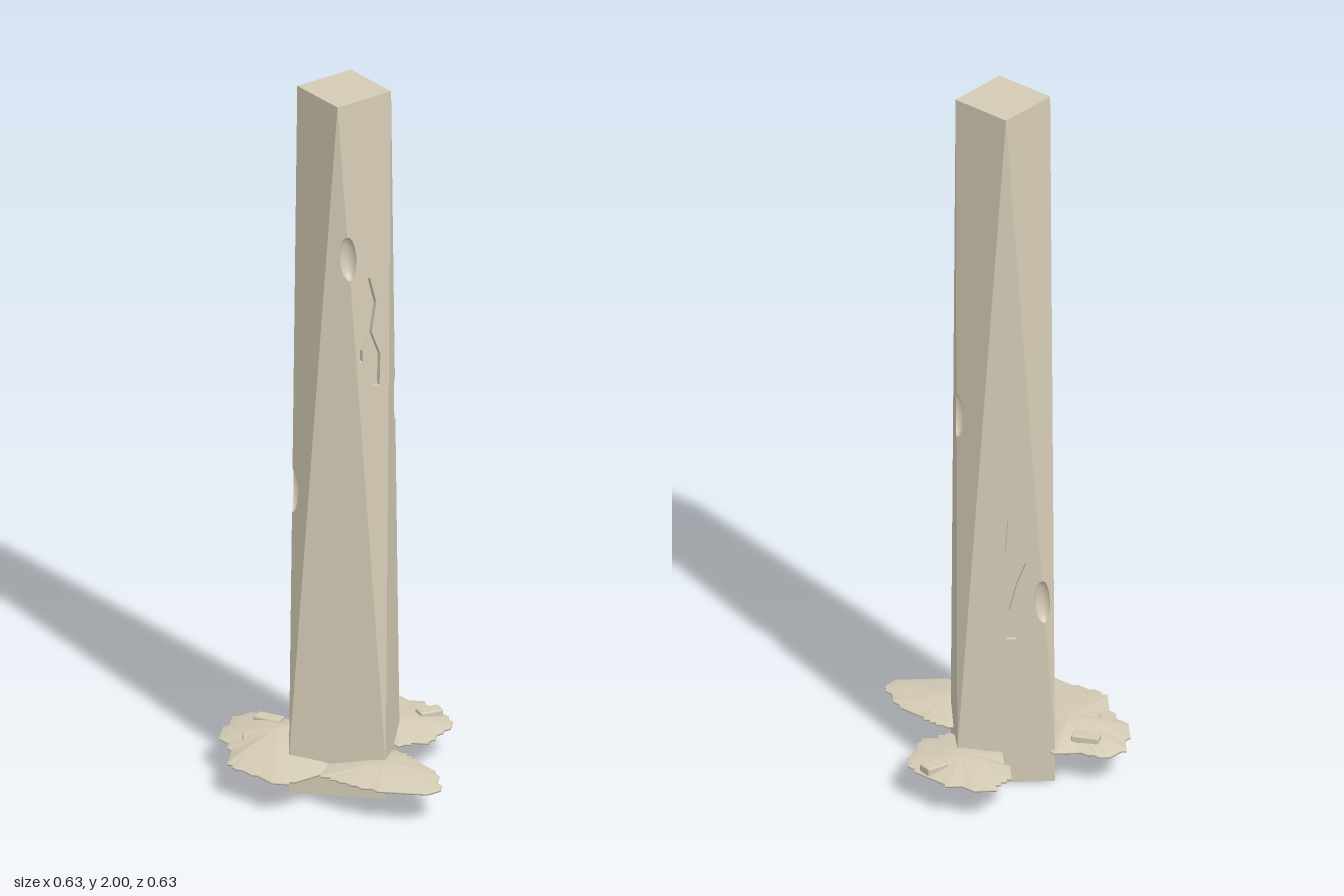
import * as THREE from 'three';
import { RoundedBoxGeometry } from 'three/addons/geometries/RoundedBoxGeometry.js';

const V = (x, y, z) => new THREE.Vector3(x, y, z);
const CX = 0.02, CZ = 0.025;          // pillar axis
const Y0 = 0.1, Y1 = 2;               // tapered part
const HALF = 0.13, TOP = 0.126;
const DENT_R = 0.025, DENT_A = 0.063, STEPS = 14;
const DENT_Y = [1.56, 1.08, 0.54, 0.86];

// Branching crack outline, counter-clockwise (across, up)
const CRACK = [[-.004, -.155], [.02, -.155], [.026, -.07], [0, 0], [.018, .08], [0, .155], [-.024, .155],
  [-.007, .08], [-.025, .01], [-.045, -.04], [-.045, -.08], [-.033, -.075], [-.032, -.045], [-.012, -.02], [.002, -.07]];

// Outlines of the dirt patches on the ground (x, z) and their heights
const PATCHES = [
  { rise: 0.034, peak: [-0.16, 0.02], line: [[-.31, .03], [-.315, -.04], [-.3, -.08], [-.295, -.12], [-.26, -.15], [-.22, -.145],
    [-.17, -.12], [-.105, -.115], [-.06, 0], [0, .1], [-.01, .22], [-.07, .28], [-.1, .3], [-.13, .295], [-.2, .25], [-.26, .21], [-.27, .165], [-.275, .1]] },
  { rise: 0.02, peak: [0.14, -0.14], line: [[.02, -.25], [.05, -.28], [.07, -.32], [.115, -.32], [.15, -.285], [.19, -.28], [.23, -.235],
    [.25, -.215], [.28, -.17], [.28, -.12], [.25, -.06], [.245, -.02], [.2, -.015], [.16, .015], [.09, -.04], [.03, -.1], [.03, -.17], [.02, -.18]] },
  { rise: 0.024, peak: [0.15, 0.18], line: [[.15, .04], [.2, .075], [.23, .1], [.29, .165], [.295, .21], [.31, .25], [.315, .28], [.29, .31],
    [.2, .31], [.18, .32], [.13, .305], [.08, .28], [.02, .25], [-.02, .23], [-.01, .16], [.05, .1]] },
];

export function createModel() {
  const stone = new THREE.MeshStandardMaterial({ color: 0xd4cbb5, side: THREE.DoubleSide });
  stone.name = 'pale stone';
  const model = new THREE.Group();
  model.name = 'weatheredPillar';
  const add = (name, geometry, parent = model) => {
    const mesh = new THREE.Mesh(geometry, stone);
    mesh.name = name;
    parent.add(mesh);
    return mesh;
  };

  // Square foot and diamond cap
  add('pillarFoot', new THREE.BoxGeometry(2 * HALF, Y0, 2 * HALF)).position.set(CX, Y0 / 2, CZ);
  add('pillarCap', new THREE.CircleGeometry(TOP, 4).rotateX(-Math.PI / 2)).position.set(CX, Y1, CZ);

  // Base corners and top points, turning from the front towards +x
  const at = (angle, r, y) => V(CX + Math.sin(angle) * r, y, CZ + Math.cos(angle) * r);
  const corner = i => at((i + 0.5) * Math.PI / 2, HALF * Math.SQRT2, Y0);
  const tip = i => at(i * Math.PI / 2, TOP, Y1);
  const normalOf = (a, b, c) => b.clone().sub(a).cross(c.clone().sub(a)).normalize();

  // Flat face with an optional cut-in crack
  function addFace(name, points, origin, u, n, crack) {
    const v = n.clone().cross(u);
    const shape = new THREE.Shape(points.map(p => {
      const d = p.clone().sub(origin);
      return new THREE.Vector2(d.dot(u), d.dot(v));
    }));
    const group = new THREE.Group();
    group.name = name;
    group.matrixAutoUpdate = true;
    group.position.copy(origin);
    group.quaternion.setFromRotationMatrix(new THREE.Matrix4().makeBasis(u, v, n));
    model.add(group);
    if (crack) {
      const depth = 0.012;
      const rim = CRACK.map(([a, b]) => new THREE.Vector2(a * crack.scale, b * crack.scale + (crack.y - origin.y) / v.y));
      shape.holes.push(new THREE.Path(rim));
      add('crackFloor', new THREE.ShapeGeometry(new THREE.Shape(rim)).translate(0, 0, -depth), group);
      const walls = [];
      rim.forEach((p, i) => {
        const q = rim[(i + 1) % rim.length];
        walls.push(p.x, p.y, 0, q.x, q.y, -depth, p.x, p.y, -depth, p.x, p.y, 0, q.x, q.y, 0, q.x, q.y, -depth);
      });
      const geometry = new THREE.BufferGeometry();
      geometry.setAttribute('position', new THREE.Float32BufferAttribute(walls, 3));
      geometry.computeVertexNormals();
      add('crackWalls', geometry, group);
    }
    add(name + 'Surface', new THREE.ShapeGeometry(shape), group);
  }

  // Four upright triangles and four corner triangles, with a dent on each shared edge
  const cornerCracks = { 0: { y: 1.335, scale: 1 } };
  const sideCracks = { 2: { y: 0.61, scale: -1.15 }, 3: { y: 0.85, scale: -0.85 } };
  for (let i = 0; i < 4; i++) {
    const prev = corner(i - 1), base = corner(i), top = tip(i), next = tip(i + 1);
    const e = top.clone().sub(base).normalize();
    const n1 = normalOf(prev, base, top), n2 = normalOf(base, next, top);
    const d1 = n1.clone().cross(e), d2 = e.clone().cross(n2);
    const centre = base.clone().lerp(top, (DENT_Y[i] - Y0) / (Y1 - Y0));
    const notch = d => Array.from({ length: STEPS + 1 }, (_, k) => {
      const t = k / STEPS * Math.PI;
      return centre.clone().addScaledVector(e, -DENT_A * Math.cos(t)).addScaledVector(d, DENT_R * Math.sin(t));
    });
    addFace('sideFace', [prev, base, ...notch(d1), top], top, base.clone().sub(prev).normalize(), n1, sideCracks[i]);
    addFace('cornerFace', [base, next, top, ...notch(d2).reverse()], base, next.clone().sub(top).normalize(), n2, cornerCracks[i]);

    const spread = Math.acos(d1.dot(d2));
    const dent = add('dent', new THREE.SphereGeometry(1, 14, STEPS, Math.PI - spread, spread).scale(DENT_R, DENT_A, DENT_R));
    dent.position.copy(centre);
    dent.quaternion.setFromRotationMatrix(new THREE.Matrix4().makeBasis(d1, e, d1.clone().cross(e)));
  }

  // Low dirt mounds with stepped rims
  const STEP = 0.015, snap = a => Math.round(a / STEP) * STEP;
  for (const { rise, peak, line } of PATCHES) {
    const rim = [];
    line.forEach(([x, z], i) => {
      const [x2, z2] = line[(i + 1) % line.length];
      for (let k = 0; k < 4; k++) rim.push([snap(x + (x2 - x) * k / 4), snap(z + (z2 - z) * k / 4)]);
    });
    const rings = [[0, 0.09 + rise], [0.25, 0.09 + rise * 0.92], [0.5, 0.09 + rise * 0.66], [0.75, 0.09 + rise * 0.32],
      [1, 0.092], [1, 0.087], [0.5, 0.083], [0, 0.082]];
    const pos = [], index = [], n = rim.length;
    for (const [s, y] of rings) {
      for (const [x, z] of rim) pos.push(peak[0] + (x - peak[0]) * s, y, peak[1] + (z - peak[1]) * s);
    }
    for (let r = 0; r < rings.length - 1; r++) {
      for (let k = 0; k < n; k++) {
        const a = r * n + k, b = r * n + (k + 1) % n;
        // outlines run clockwise or not: pick the winding that faces up
        index.push(a, b, a + n, b, b + n, a + n);
      }
    }
    const area = rim.reduce((sum, [x, z], k) => sum + x * rim[(k + 1) % n][1] - rim[(k + 1) % n][0] * z, 0);
    if (area < 0) index.reverse();
    const geometry = new THREE.BufferGeometry();
    geometry.setAttribute('position', new THREE.Float32BufferAttribute(pos, 3));
    geometry.setIndex(index);
    geometry.computeVertexNormals();
    add('dirtPatch', geometry);
  }

  // Loose stone chips
  const chips = [[-0.196, 0.107, -0.071, 0.076, 0.026, 0.04, -0.33], [0.218, 0.1, -0.193, 0.066, 0.026, 0.042, 0.55],
    [-0.245, 0.1, 0.042, 0.012, 0.02, 0.046, 0.22]];
  for (const [x, y, z, w, h, d, turn] of chips) {
    const chip = add('stoneChip', new RoundedBoxGeometry(w, h, d, 1, 0.005));
    chip.position.set(x, y, z);
    chip.rotation.y = turn;
  }
  return model;
}
